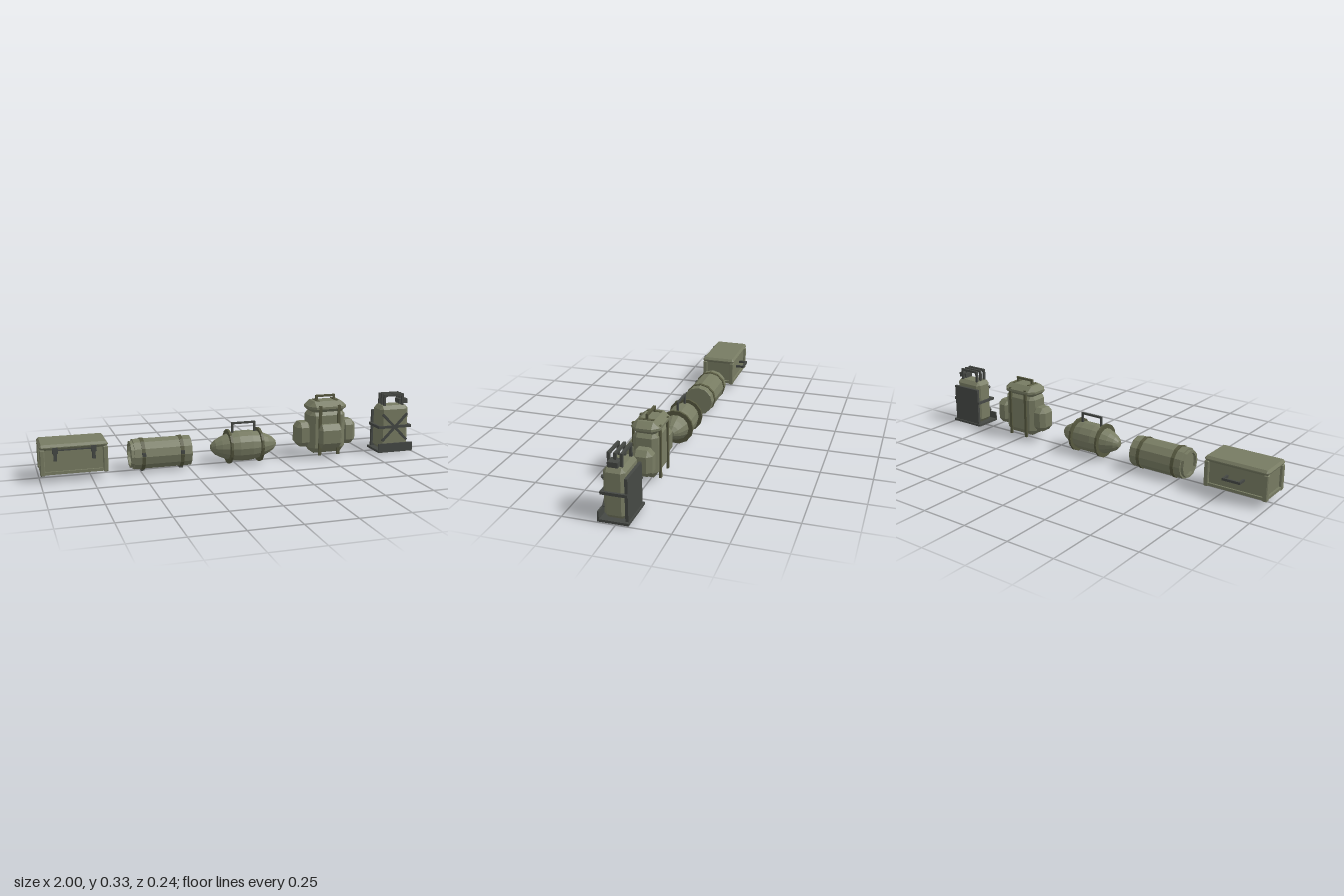
import * as THREE from 'three';
import { ConvexGeometry } from 'three/addons/geometries/ConvexGeometry.js';

const mat = (color) => new THREE.MeshStandardMaterial({ color, flatShading: true });
const olive = mat(0x777b62), strapMat = mat(0x56583f), dark = mat(0x454844);

function add(parent, name, geo, material, x = 0, y = 0, z = 0) {
  const m = new THREE.Mesh(geo, material);
  m.name = name;
  m.position.set(x, y, z);
  parent.add(m);
  return m;
}

// Box given by its min and max corners
function box(parent, name, material, [x0, x1], [y0, y1], [z0, z1]) {
  return add(parent, name, new THREE.BoxGeometry(x1 - x0, y1 - y0, z1 - z0), material,
    (x0 + x1) / 2, (y0 + y1) / 2, (z0 + z1) / 2);
}

// Box with cut edges and corners, c = cut along each axis
function cutBox(parent, name, material, [x0, x1], [y0, y1], [z0, z1], [cx, cy, cz]) {
  const w = (x1 - x0) / 2, h = (y1 - y0) / 2, d = (z1 - z0) / 2, pts = [];
  for (const a of [-1, 1]) for (const b of [-1, 1]) for (const c of [-1, 1]) {
    pts.push(new THREE.Vector3(a * w, b * (h - cy), c * (d - cz)));
    pts.push(new THREE.Vector3(a * (w - cx), b * h, c * (d - cz)));
    pts.push(new THREE.Vector3(a * (w - cx), b * (h - cy), c * d));
  }
  return add(parent, name, new ConvexGeometry(pts), material, (x0 + x1) / 2, (y0 + y1) / 2, (z0 + z1) / 2);
}

// Turned shape lying along x, points are [x, radius]
const lathe = (pts, sides) =>
  new THREE.LatheGeometry(pts.map(([x, r]) => new THREE.Vector2(r, x)), sides).rotateZ(-Math.PI / 2);

// U-shaped grip spanning x0..x1, rising from y0 to y1
function grip(parent, name, [x0, x1], [y0, y1], z, t, material = dark) {
  const g = new THREE.Group();
  g.name = name;
  parent.add(g);
  const depth = [z - t / 2, z + t / 2];
  box(g, 'gripBar', material, [x0, x1], [y1 - t, y1], depth);
  for (const x of [x0, x1 - t]) box(g, 'gripLeg', material, [x, x + t], [y0, y1 - t], depth);
  return g;
}

function group(root, name) {
  const g = new THREE.Group();
  g.name = name;
  root.add(g);
  return g;
}

function buildChest(root) {
  const g = group(root, 'chest');
  box(g, 'chestBody', olive, [-0.985, -0.685], [0.045, 0.17], [-0.07, 0.09]);
  cutBox(g, 'chestLid', olive, [-1, -0.67], [0.162, 0.19], [-0.083, 0.104], [0.01, 0.012, 0.01]);
  // Corner posts with feet
  for (const x of [-0.987, -0.683]) for (const z of [-0.069, 0.09])
    cutBox(g, 'cornerPost', olive, [x - 0.012, x + 0.012], [0.036, 0.166], [z - 0.012, z + 0.012], [0.004, 0.004, 0.004]);
  // Bottom rails
  for (const z of [-0.073, 0.094])
    box(g, 'longRail', olive, [-0.985, -0.685], [0.041, 0.055], [z - 0.006, z + 0.006]);
  for (const x of [-0.99, -0.68])
    box(g, 'shortRail', olive, [x - 0.006, x + 0.006], [0.041, 0.055], [-0.07, 0.09]);
  box(g, 'seam', dark, [-0.92, -0.75], [0.157, 0.163], [0.085, 0.1]);
  // Latches
  for (const x of [-0.925, -0.74]) {
    box(g, 'latch', dark, [x - 0.013, x + 0.013], [0.145, 0.176], [0.09, 0.11]);
    box(g, 'latchTongue', dark, [x - 0.008, x + 0.008], [0.108, 0.145], [0.09, 0.105]);
  }
  // Rear handle
  box(g, 'rearHandle', dark, [-0.88, -0.786], [0.106, 0.118], [-0.118, -0.108]);
  for (const x of [-0.88, -0.796])
    box(g, 'rearHandleLeg', dark, [x, x + 0.01], [0.106, 0.118], [-0.108, -0.07]);
}

function buildDrum(root) {
  const g = group(root, 'drum');
  const y = 0.087, z = 0.004;
  add(g, 'drumBody', lathe([[-0.535, 0], [-0.535, 0.079], [-0.243, 0.079], [-0.24, 0.077], [-0.24, 0]], 12), olive, 0, y, z);
  // Rim around a recessed end
  add(g, 'endRim', lathe([[-0.536, 0.058], [-0.55, 0.058], [-0.55, 0.07], [-0.535, 0.07]], 12), olive, 0, y, z)
    .material = Object.assign(olive.clone(), { side: THREE.DoubleSide });
  for (const x of [-0.49, -0.292]) {
    add(g, 'drumBand', lathe([[x - 0.009, 0.075], [x - 0.009, 0.083], [x + 0.009, 0.083], [x + 0.009, 0.075]], 12), strapMat, 0, y, z);
    for (const by of [0.1, 0.015])
      box(g, 'buckle', dark, [x - 0.009, x + 0.009], [by - 0.009, by + 0.009],
        by > 0.05 ? [0.074, 0.091] : [0.02, 0.04]);
  }
}

function buildRoll(root) {
  const g = group(root, 'roll');
  const x = 0.05, y = 0.09, z = 0.01;
  const half = [[0.175, 0.018], [0.157, 0.037], [0.125, 0.054], [0.08, 0.071], [0.035, 0.079]];
  const profile = [[-0.178, 0], ...half.map(([a, r]) => [-a, r]), ...[...half].reverse(), [0.178, 0]];
  add(g, 'rollBody', lathe(profile, 14), olive, x, y, z);
  for (const s of [-0.083, 0.083])
    add(g, 'rollBand', lathe([[s - 0.006, 0.06], [s - 0.006, 0.09], [s + 0.006, 0.09], [s + 0.006, 0.06]], 14), strapMat, x, y, z);
  grip(g, 'rollHandle', [-0.015, 0.115], [0.16, 0.217], z, 0.01);
}

function buildBackpack(root) {
  const g = group(root, 'backpack');
  const cx = 0.507, side = (s, a, b) => s > 0 ? [cx + a, cx + b] : [cx - b, cx - a];
  cutBox(g, 'packBody', olive, [0.407, 0.607], [0.028, 0.262], [-0.05, 0.072], [0.024, 0.03, 0.024]);
  cutBox(g, 'packLid', olive, [0.402, 0.612], [0.242, 0.306], [-0.058, 0.08], [0.03, 0.038, 0.032]);
  cutBox(g, 'frontPocket', olive, [0.443, 0.571], [0.06, 0.19], [0.06, 0.118], [0.015, 0.03, 0.022]);
  for (const s of [-1, 1]) {
    cutBox(g, 'sidePouch', olive, side(s, 0.085, 0.168), [0.063, 0.195], [-0.046, 0.056], [0.022, 0.026, 0.024]);
    // Vertical straps, front and back
    for (const z of [0.078, -0.052])
      box(g, 'strap', strapMat, side(s, 0.045, 0.06), [0.02, 0.287], [z - 0.005, z + 0.005]);
    // Strap over the lid
    box(g, 'lidStrap', strapMat, side(s, 0.045, 0.06), [0.295, 0.309], [-0.025, 0.047]);
  }
  grip(g, 'packHandle', [0.452, 0.562], [0.295, 0.334], 0.011, 0.011, strapMat);
}

function buildCan(root) {
  const g = group(root, 'canister');
  const cx = 0.899, z0 = 0.011;
  cutBox(g, 'canBody', olive, [0.814, 0.984], [0.018, 0.258], [-0.04, 0.062], [0.018, 0.02, 0.018]);
  // Carrier: base tray, front lip and back plate
  box(g, 'basePlate', dark, [0.798, 1], [0.006, 0.018], [-0.06, 0.083]);
  box(g, 'frontLip', dark, [0.798, 1], [0.018, 0.055], [0.075, 0.083]);
  box(g, 'backPlate', dark, [0.812, 0.986], [0.018, 0.22], [-0.054, -0.04]);
  // Band around the middle
  for (const z of [0.064, -0.048])
    box(g, 'bandLong', dark, [0.803, 0.995], [0.136, 0.15], [z - 0.006, z + 0.006]);
  for (const x of [0.809, 0.989])
    box(g, 'bandShort', dark, [x - 0.006, x + 0.006], [0.136, 0.15], [-0.048, 0.064]);
  // Crossed ribs on the front
  for (const s of [-1, 1])
    add(g, 'crossRib', new THREE.BoxGeometry(0.013, 0.205, 0.01), dark, cx, 0.14, 0.064).rotation.z = s * 0.78;
  // Three parallel grips
  for (const z of [-0.018, z0, 0.04])
    grip(g, 'canHandle', [0.838, 0.957], [0.245, 0.319], z, 0.012);
  // Spout and cap
  box(g, 'spout', dark, [0.945, 0.965], [0.24, 0.27], [z0 - 0.012, z0 + 0.012]);
  box(g, 'cap', dark, [0.935, 0.985], [0.264, 0.288], [z0 - 0.024, z0 + 0.024]);
}

export function createModel() {
  const root = new THREE.Group();
  root.name = 'fieldGear';
  for (const build of [buildChest, buildDrum, buildRoll, buildBackpack, buildCan]) build(root);
  return root;
}
